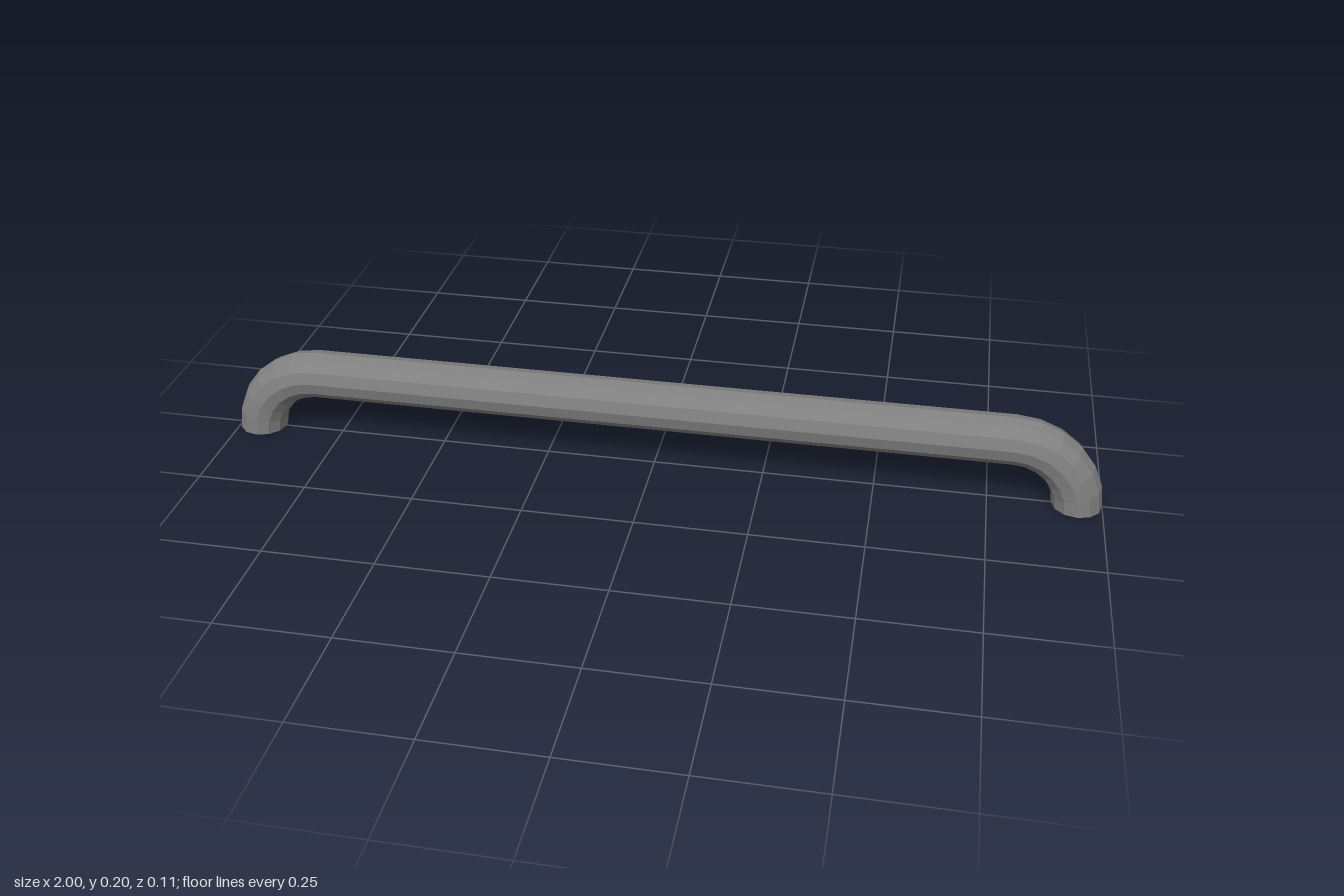
import * as THREE from 'three';

const SIDES = 12;          // facets around the bar
const STEPS = 6;           // segments in each bend
const RADIUS = 0.055;      // bar thickness / 2
const BEND = 0.15;         // bend radius along the centre line
const BEND_X = 0.795;      // bend centre from the middle

// Sweep a 12-sided ring up one foot, across the grip and down the other foot
function handleGeometry() {
  const positions = [], index = [];
  const addRing = (cx, angle) => {
    const c = Math.cos(angle), s = Math.sin(angle);
    for (let j = 0; j < SIDES; j++) {
      const a = (j / SIDES) * Math.PI * 2;
      const r = BEND + RADIUS * Math.cos(a);
      positions.push(cx + c * r, s * r, RADIUS * Math.sin(a));
    }
  };
  for (const side of [1, -1]) {
    for (let i = 0; i <= STEPS; i++) {
      const quarter = (i / STEPS) * Math.PI / 2;
      addRing(side * BEND_X, side > 0 ? quarter : Math.PI / 2 + quarter);
    }
  }

  // Walls between neighbouring rings
  const rings = 2 * (STEPS + 1);
  for (let i = 0; i < rings - 1; i++) {
    for (let j = 0; j < SIDES; j++) {
      const a = i * SIDES + j, b = i * SIDES + (j + 1) % SIDES;
      index.push(a, a + SIDES, b, b, a + SIDES, b + SIDES);
    }
  }

  // Flat caps under both feet
  const last = (rings - 1) * SIDES;
  for (let j = 1; j < SIDES - 1; j++) {
    index.push(0, j, j + 1, last, last + j + 1, last + j);
  }

  const geometry = new THREE.BufferGeometry();
  geometry.setAttribute('position', new THREE.Float32BufferAttribute(positions, 3));
  geometry.setIndex(index);
  const flat = geometry.toNonIndexed();
  flat.computeVertexNormals();
  return flat;
}

export function createModel() {
  const group = new THREE.Group();
  group.name = 'pullHandle';
  const material = new THREE.MeshStandardMaterial({ color: 0x808080, flatShading: true });
  const bar = new THREE.Mesh(handleGeometry(), material);
  bar.name = 'handleBar';
  group.add(bar);
  return group;
}
